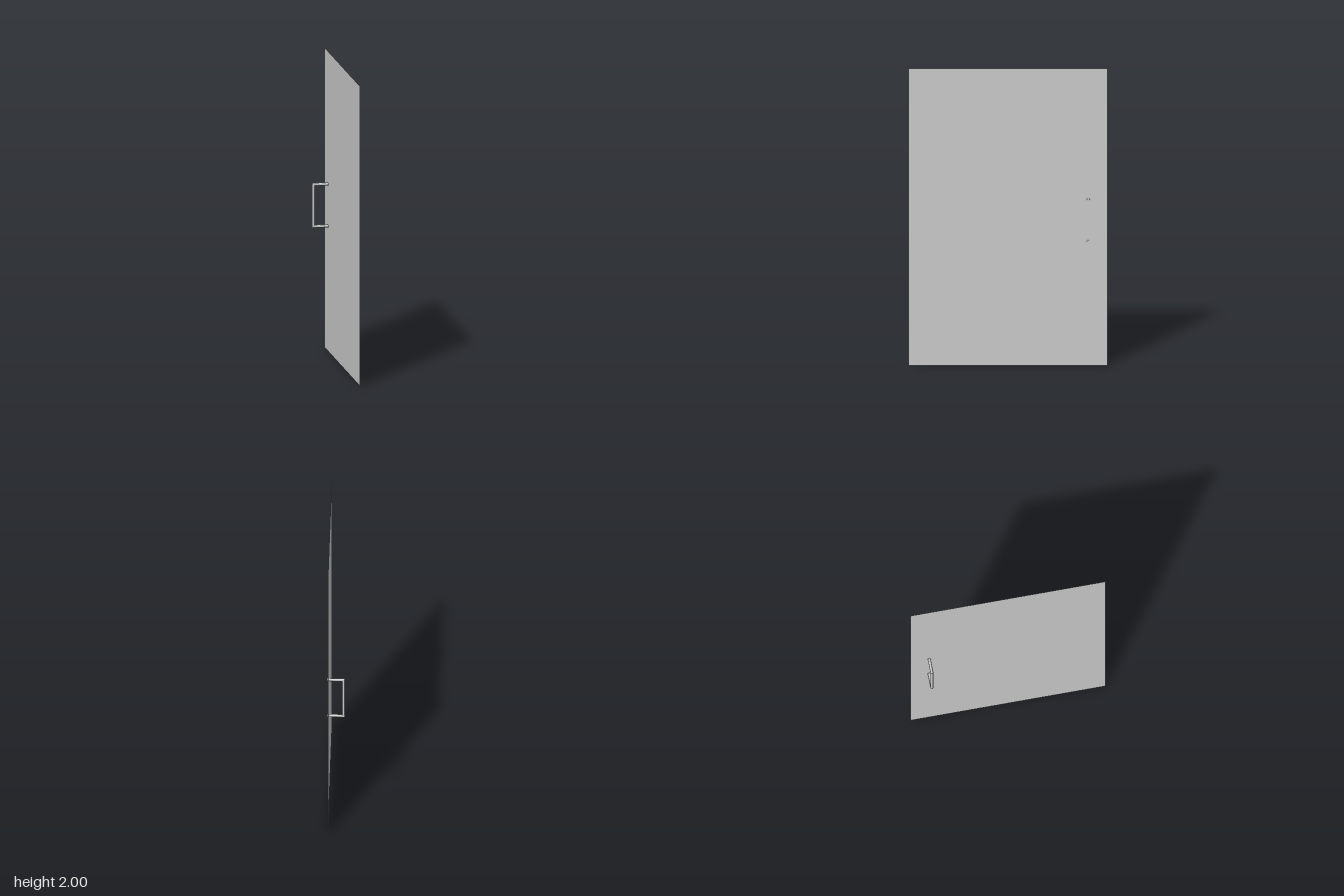
import * as THREE from 'three';
import { toCreasedNormals } from 'three/addons/utils/BufferGeometryUtils.js';

// Round bar bent into a C with two mitred corners
function pullHandleGeometry(endX, barX, topY, bottomY, z, radius) {
  const geo = new THREE.CylinderGeometry(radius, radius, 3, 16, 3);
  const pos = geo.attributes.position;
  for (let i = 0; i < pos.count; i++) {
    const row = Math.round(1.5 - pos.getY(i)); // 0 = top leg end ... 3 = bottom leg end
    const out = -pos.getX(i); // offset towards the outside of the bend
    const x = row === 0 || row === 3 ? endX : barX - out;
    const y = row < 2 ? topY + out : bottomY - out;
    pos.setXYZ(i, x, y, z + pos.getZ(i));
  }
  return toCreasedNormals(geo, Math.PI / 5);
}

export function createModel() {
  const model = new THREE.Group();
  model.name = 'door';

  // Thin door leaf, standing in the YZ plane
  const leaf = new THREE.Mesh(
    new THREE.PlaneGeometry(1.3, 2),
    new THREE.MeshStandardMaterial({ color: 0xcccccc, side: THREE.DoubleSide })
  );
  leaf.name = 'doorLeaf';
  leaf.rotation.y = Math.PI / 2;
  leaf.position.set(0.05, 1, 0);
  model.add(leaf);

  // Pull handle, its legs passing just through the leaf
  const handle = new THREE.Mesh(
    pullHandleGeometry(0.058, -0.048, 1.116, 0.836, -0.525, 0.01),
    new THREE.MeshStandardMaterial({ color: 0xcccccc })
  );
  handle.name = 'pullHandle';
  model.add(handle);

  return model;
}
